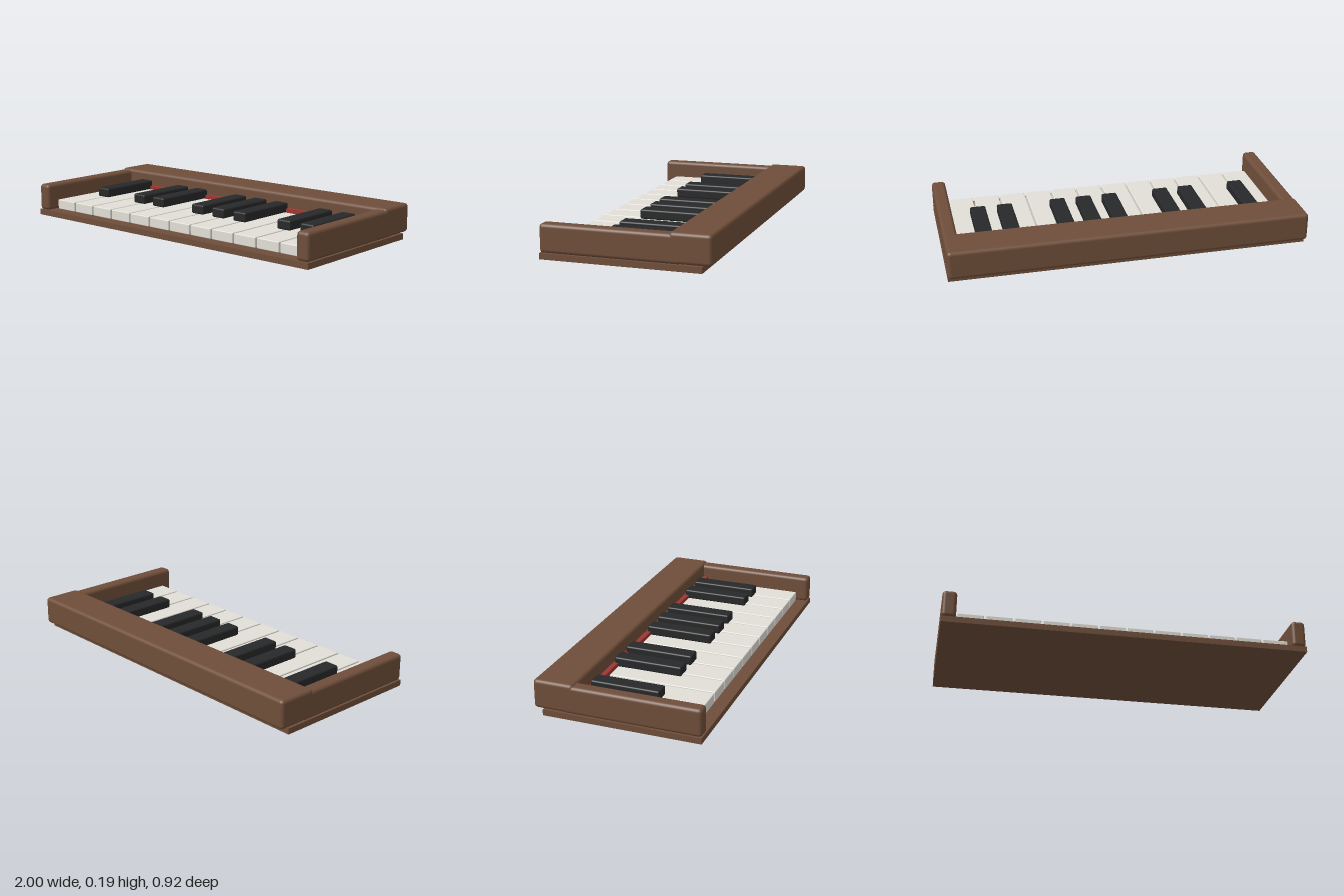
import * as THREE from 'three';
import { RoundedBoxGeometry } from 'three/addons/geometries/RoundedBoxGeometry.js';

const material = (name, color) => {
  const m = new THREE.MeshStandardMaterial({ color });
  m.name = name;
  return m;
};

// Box given by its [min, max] extents on each axis; radius 0 keeps sharp edges
function block(name, mat, [x0, x1], [y0, y1], [z0, z1], radius = 0) {
  const size = [x1 - x0, y1 - y0, z1 - z0];
  const geometry = radius
    ? new RoundedBoxGeometry(...size, 4, radius)
    : new THREE.BoxGeometry(...size);
  const mesh = new THREE.Mesh(geometry, mat);
  mesh.name = name;
  mesh.position.set((x0 + x1) / 2, (y0 + y1) / 2, (z0 + z1) / 2);
  return mesh;
}

export function createModel() {
  const wood = material('brown wood', 0x6f4e3a);
  const ivory = material('ivory', 0xe2dfd7);
  const ebony = material('ebony', 0x272829);
  const felt = material('red felt', 0xa03531);

  const model = new THREE.Group();
  model.name = 'keyboard';

  // Wooden case: base board, rear block and two cheeks
  model.add(block('baseBoard', wood, [-1, 1], [0, 0.033], [-0.41, 0.46]));
  model.add(block('rearBlock', wood, [-1, 1], [0.035, 0.195], [-0.46, -0.235], 0.02));
  model.add(block('rightCheek', wood, [-1, -0.922], [0.033, 0.186], [-0.3, 0.46], 0.02));
  model.add(block('leftCheek', wood, [0.922, 1], [0.033, 0.186], [-0.3, 0.46], 0.02));

  // Felt strip behind the keys
  model.add(block('feltStrip', felt, [-0.922, 0.922], [0.033, 0.113], [-0.24, -0.207]));

  // Twelve white keys
  const count = 12;
  const pitch = 1.842 / count;
  const whiteKeys = new THREE.Group();
  whiteKeys.name = 'whiteKeys';
  for (let i = 0; i < count; i++) {
    const x = (i + 0.5 - count / 2) * pitch;
    const half = pitch / 2 - 0.005;
    whiteKeys.add(block('whiteKey', ivory, [x - half, x + half], [0.034, 0.091], [-0.21, 0.39], 0.005));
  }
  model.add(whiteKeys);

  // Black keys straddle the chosen gaps, counted from the centre
  const blackKeys = new THREE.Group();
  blackKeys.name = 'blackKeys';
  for (const gap of [-5, -3, -2, 0, 1, 2, 4, 5]) {
    const x = gap * pitch;
    blackKeys.add(block('blackKey', ebony, [x - 0.044, x + 0.044], [0.092, 0.146], [-0.226, 0.16], 0.01));
  }
  model.add(blackKeys);

  return model;
}
